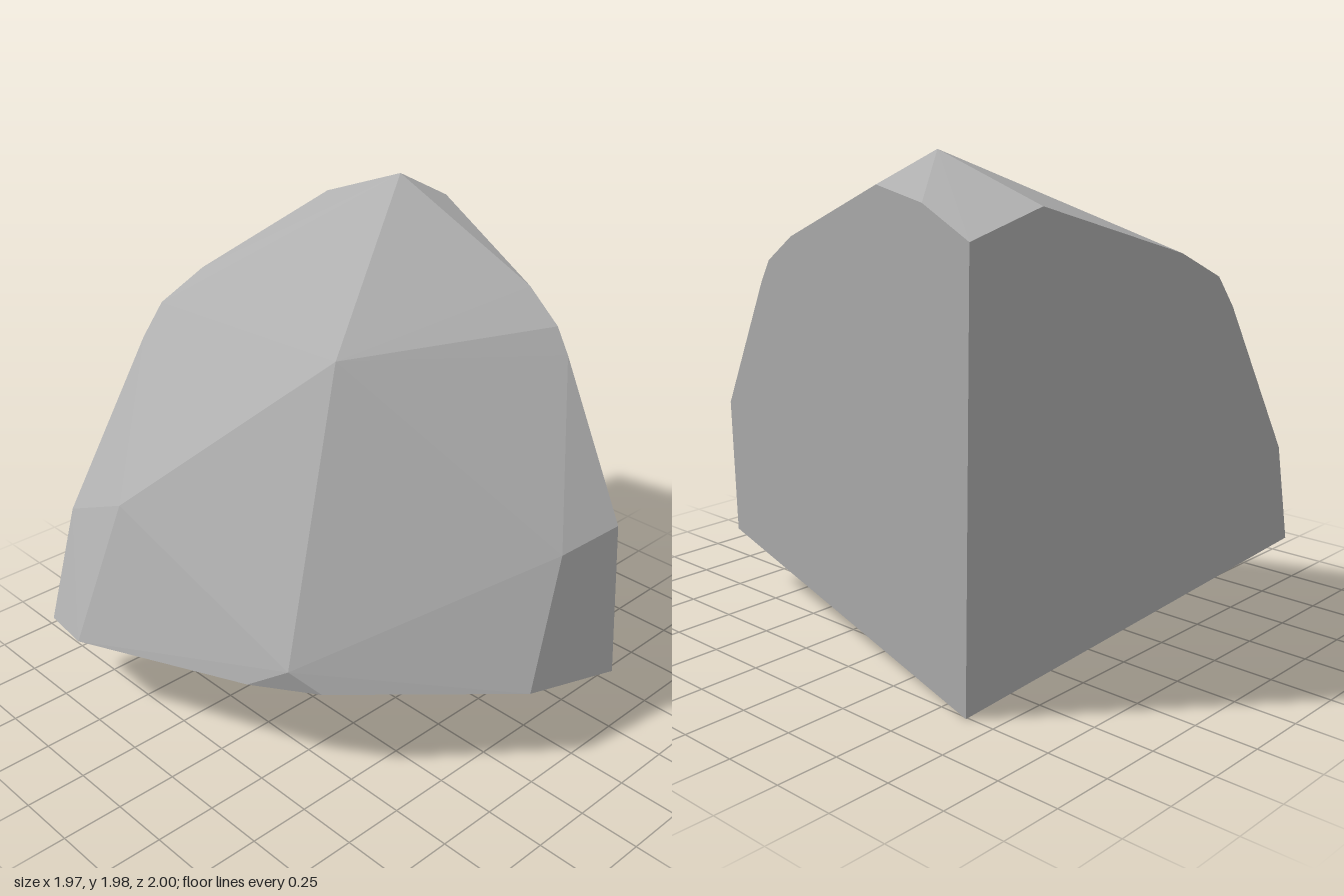
import * as THREE from 'three';
import { ConvexGeometry } from 'three/addons/geometries/ConvexGeometry.js';

// Sharp lower corner where the three flat cuts meet
const corner = new THREE.Vector3(-0.63, 0, -0.76);

// Points lying on each flat cut, from two of their coordinates
const onBase = (x, z) =>
  new THREE.Vector3(x, 0.1345 * (x - corner.x) + 0.1937 * (z - corner.z), z);
const onBack = (x, y) =>
  new THREE.Vector3(x, y, corner.z + 0.1733 * (x - corner.x) - 0.1144 * y);
const onSide = (y, z) =>
  new THREE.Vector3(corner.x - 0.1624 * y - 0.1227 * (z - corner.z), y, z);

export function createModel() {
  const group = new THREE.Group();
  group.name = 'rockChunk';
  const stone = new THREE.MeshStandardMaterial({ color: 0xb0b0b0, flatShading: true });
  stone.name = 'grey stone';

  const points = [
    corner,
    // rim of the slanted base
    onBase(0.98, -0.51), onBase(0.91, -0.07), onBase(0.41, 0.57),
    onBase(0.16, 0.73), onBase(-0.6, 1.0), onBase(-0.885, 0.94),
    // rim of the back cut
    onBack(0.88, 0.87), onBack(0.47, 1.435), onBack(0.39, 1.53), onBack(0.2, 1.64),
    onBack(-0.4, 1.87), onBack(-0.65, 1.83), onBack(-0.88, 1.73),
    // rim of the side cut
    onSide(0.74, 0.76), onSide(1.38, 0.3), onSide(1.505, 0.19),
    onSide(1.61, -0.03), onSide(1.82, -0.72),
    // peaks of the rough faceted surface
    new THREE.Vector3(-0.5, 1.98, -0.75),
    new THREE.Vector3(0.05, 1.54, 0.15),
    new THREE.Vector3(0.84, 0.84, -0.3),
    new THREE.Vector3(0.31, 0.49, 0.65),
    new THREE.Vector3(-0.56, 0.91, 0.77),
  ];

  const rock = new THREE.Mesh(new ConvexGeometry(points), stone);
  rock.name = 'rock';
  group.add(rock);
  return group;
}
